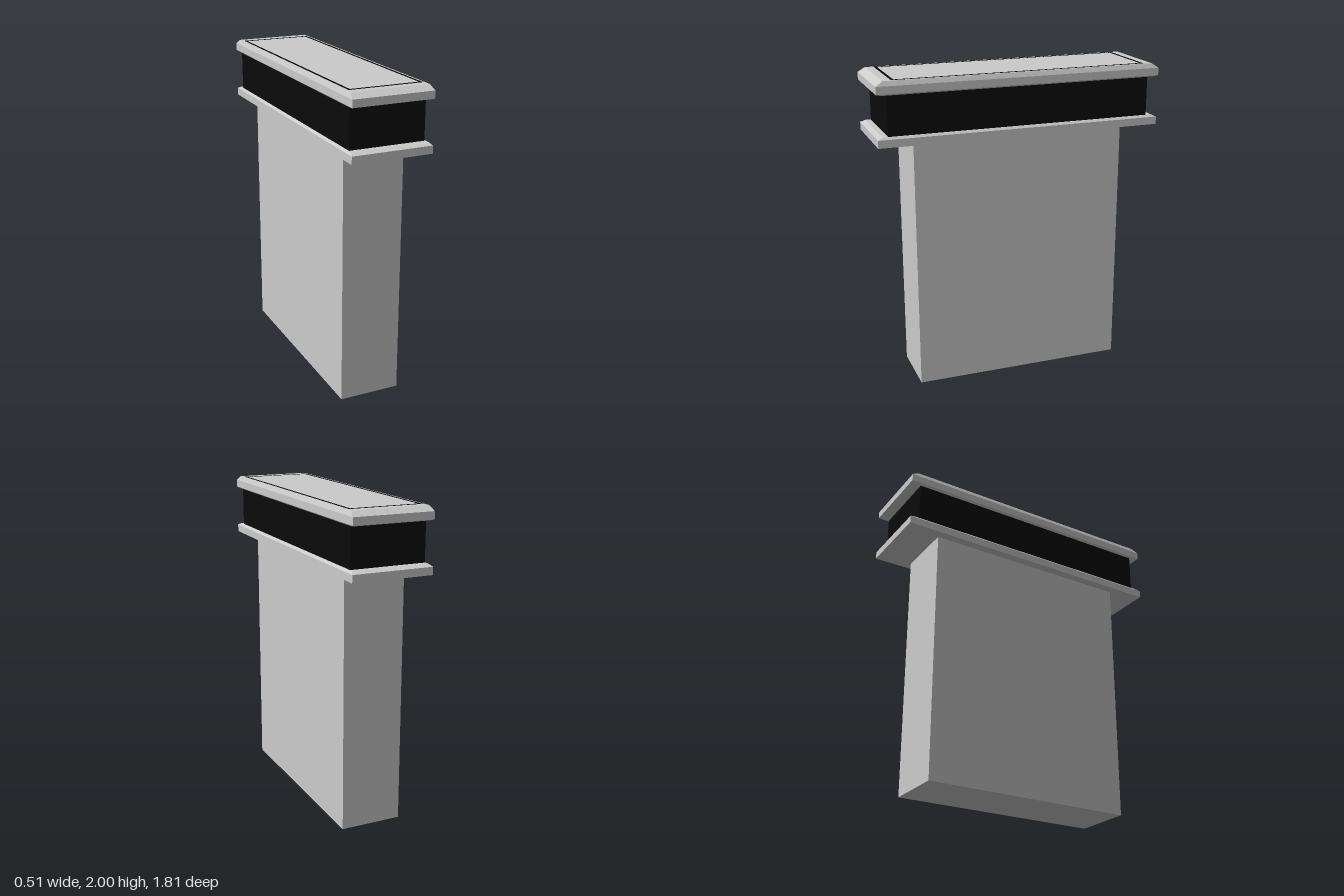
import * as THREE from 'three';

const grey = new THREE.MeshStandardMaterial({ color: 0xcccccc, flatShading: true });
const black = new THREE.MeshStandardMaterial({ color: 0x0a0a0a, flatShading: true });

// Closed solid lofted through rectangular sections [halfX, halfZ, y], bottom to top
function loft(sections) {
  const pos = [], idx = [];
  for (const [x, z, y] of sections) pos.push(-x, y, z, x, y, z, x, y, -z, -x, y, -z);
  const quad = (a, b, c, d) => idx.push(a, b, c, a, c, d);
  const n = sections.length;
  for (let s = 0; s < n - 1; s++) {
    for (let i = 0; i < 4; i++) {
      const j = (i + 1) % 4, b = s * 4;
      quad(b + i, b + j, b + 4 + j, b + 4 + i);
    }
  }
  quad(3, 2, 1, 0);
  const t = (n - 1) * 4;
  quad(t, t + 1, t + 2, t + 3);
  const indexed = new THREE.BufferGeometry();
  indexed.setAttribute('position', new THREE.Float32BufferAttribute(pos, 3));
  indexed.setIndex(idx);
  const geo = indexed.toNonIndexed();
  geo.computeVertexNormals();
  return geo;
}

// Rectangle outline, usable as a shape or a hole
function rect(path, x, z) {
  path.moveTo(-x, -z);
  path.lineTo(x, -z);
  path.lineTo(x, z);
  path.lineTo(-x, z);
  path.closePath();
  return path;
}

export function createModel() {
  const model = new THREE.Group();
  const add = (name, geo, mat) => {
    const mesh = new THREE.Mesh(geo, mat);
    mesh.name = name;
    model.add(mesh);
    return mesh;
  };

  // Tall rectangular shaft
  add('shaft', new THREE.BoxGeometry(0.39, 1.61, 1.364).translate(-0.002, 0.805, 0), grey);

  // Lower flange with a shallow sloped top
  add('lowerFlange', loft([
    [0.255, 0.907, 1.607], [0.255, 0.907, 1.655], [0.243, 0.875, 1.668],
  ]), grey);

  // Dark band between the flanges
  add('band', new THREE.BoxGeometry(0.475, 0.26, 1.682).translate(-0.002, 1.79, 0), black);

  // Cap with sloped underside and bevelled top edge
  add('cap', loft([
    [0.243, 0.875, 1.914], [0.255, 0.907, 1.923], [0.255, 0.907, 1.97], [0.243, 0.863, 1.999],
  ]), grey);

  // Thin dark inlay line on the cap
  const frame = rect(new THREE.Shape(), 0.23, 0.81);
  frame.holes.push(rect(new THREE.Path(), 0.215, 0.793));
  const inlay = new THREE.ExtrudeGeometry(frame, { depth: 0.002, bevelEnabled: false });
  add('topInlay', inlay.rotateX(-Math.PI / 2).translate(0, 1.998, 0), black);

  return model;
}
